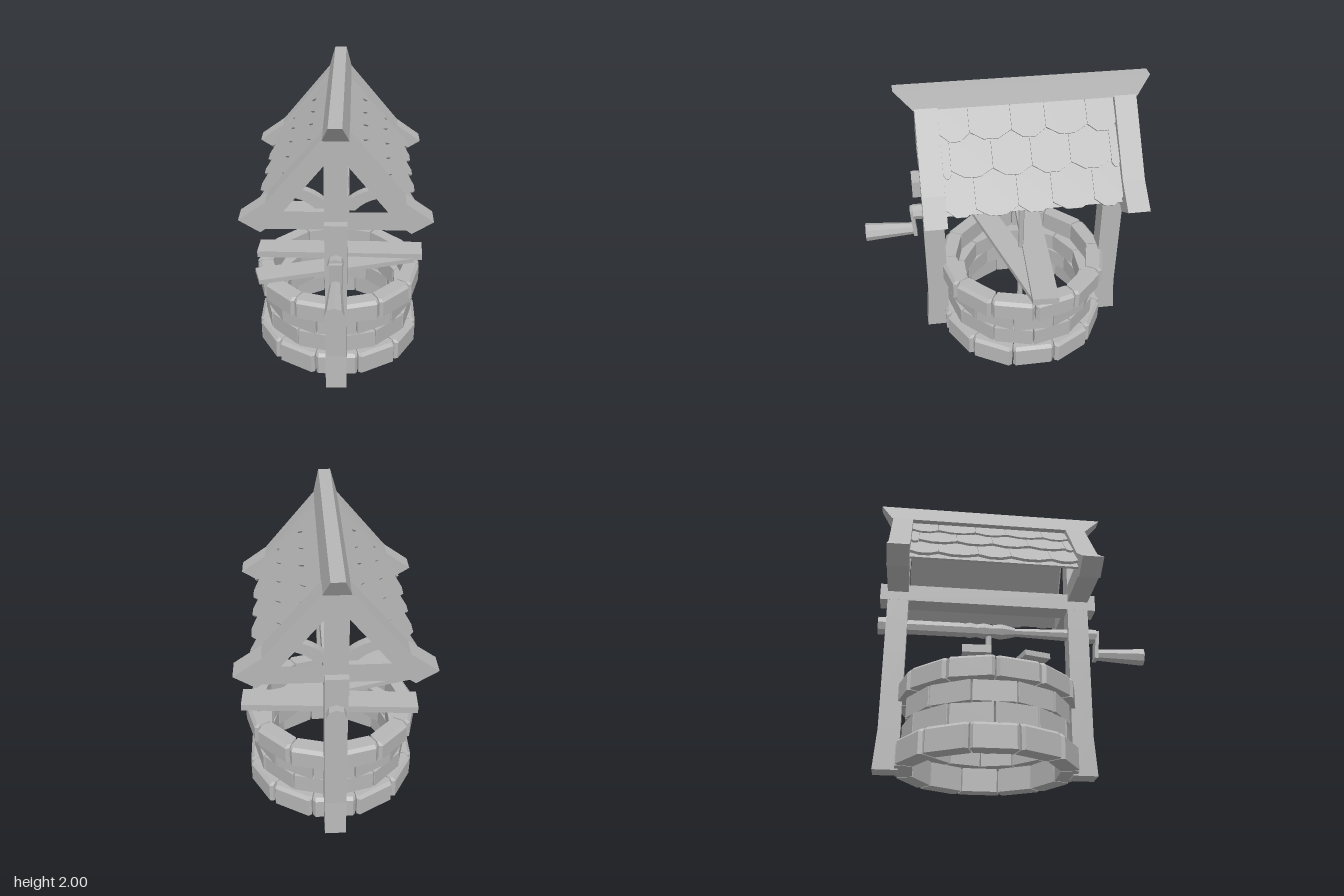
import * as THREE from 'three';

const stone = new THREE.MeshStandardMaterial({ color: 0xb6b6b6, flatShading: true });
stone.name = 'grey';

let seed = 7;
const rand = () => ((seed = (seed * 16807) % 2147483647) / 2147483647) - 0.5;

function add(parent, name, geometry, x = 0, y = 0, z = 0) {
  const mesh = new THREE.Mesh(geometry, stone);
  mesh.name = name;
  mesh.position.set(x, y, z);
  parent.add(mesh);
  return mesh;
}

const polygon = (pts) => new THREE.Shape(pts.map(([x, y]) => new THREE.Vector2(x, y)));
const extrude = (shape, depth, steps = 1) =>
  new THREE.ExtrudeGeometry(shape, { depth, steps, bevelEnabled: false, curveSegments: 5 });

// Round bar along z
function bar(parent, name, y, z0, r0, z1, r1, sides = 8) {
  const g = new THREE.CylinderGeometry(r1, r0, z1 - z0, sides).rotateX(Math.PI / 2);
  return add(parent, name, g, 0, y, (z0 + z1) / 2);
}

// Wedge-shaped stone facing +x, with optional chamfers on the outer edges
function brick(outer, inner, y0, y1, chamfer) {
  const half = Math.PI / 12, t = Math.tan(half), gap = 0.005;
  const apothem = outer * Math.cos(half), inA = inner * Math.cos(half);
  const wo = apothem * t - gap, wi = inA * t - gap;
  const c = Math.max(chamfer, 0.003);
  const g = extrude(polygon([
    [inA, -wi], [apothem - c, -wo + c * t], [apothem, -wo + c],
    [apothem, wo - c], [apothem - c, wo - c * t], [inA, wi],
  ]), 1, 2);
  const p = g.attributes.position;
  for (let i = 0; i < p.count; i++) {
    const level = p.getZ(i);
    if (level > 0.9) {
      if (p.getX(i) > inA + 0.02) p.setX(i, p.getX(i) - chamfer);
      p.setY(i, p.getY(i) * (1 - chamfer));
    }
    p.setZ(i, level < 0.1 ? y0 : level > 0.9 ? y1 : y1 - Math.max(chamfer, 0.005));
  }
  g.rotateX(-Math.PI / 2);
  g.computeVertexNormals();
  return g;
}

function makeWall() {
  const wall = new THREE.Group();
  wall.name = 'stoneWall';
  // outer corner radius, bottom, top, chamfer, turn
  const courses = [
    [0.612, 0.01, 0.175, 0.022, 0],
    [0.558, 0.18, 0.312, 0, 0.5],
    [0.555, 0.32, 0.455, 0, 0],
    [0.612, 0.46, 0.602, 0.022, 0.5],
  ];
  courses.forEach(([r, y0, y1, chamfer, turn]) => {
    for (let i = 0; i < 12; i++) {
      const out = r + rand() * 0.012;
      const m = add(wall, 'stoneBlock', brick(out, r - 0.12, y0, y1, chamfer));
      m.rotation.y = (i + turn) * Math.PI / 6;
    }
  });
  return wall;
}

// Triangular truss with king post, eave ends and curved braces
function makeGable() {
  const gable = new THREE.Group();
  gable.name = 'gableTruss';
  const side = [[0.075, 1.89], [0.435, 1.46], [0.61, 1.335], [0.475, 1.25], [0.44, 1.275]];
  const shape = polygon([...side, ...side.map(([x, y]) => [-x, y]).reverse()]);
  for (const s of [-1, 1]) {
    shape.holes.push(new THREE.Path([[0.073, 1.4], [0.073, 1.71], [0.325, 1.4]]
      .map(([x, y]) => new THREE.Vector2(s * x, y))));
    const brace = new THREE.Shape();
    brace.moveTo(s * 0.07, 1.39);
    brace.lineTo(s * 0.07, 1.45);
    brace.quadraticCurveTo(s * 0.14, 1.52, s * 0.25, 1.54);
    brace.lineTo(s * 0.3, 1.48);
    brace.quadraticCurveTo(s * 0.19, 1.47, s * 0.12, 1.39);
    add(gable, 'curvedBrace', extrude(brace, 0.06), 0, 0, -0.03);
  }
  add(gable, 'trussFrame', extrude(shape, 0.145), 0, 0, -0.0725);
  return gable;
}

// One roof slope: x runs along the ridge, y up the slope, z outward
function makeSlope(s) {
  const slope = new THREE.Group();
  slope.name = s > 0 ? 'leftRoofSlope' : 'rightRoofSlope';
  const end = 0.567;
  add(slope, 'roofBoard', new THREE.BoxGeometry(end * 2, 0.68, 0.015), 0, -0.35, -0.045);
  const odd = [-end, -0.38, -0.11, 0.11, 0.38, end];
  const even = [-end, -0.515, -0.25, 0, 0.25, 0.515, end];
  const courses = [[0, 0.225, odd], [0.19, 0.46, even], [0.42, 0.71, odd]];
  for (const [top, bottom, edges] of courses) {
    const h = bottom - top;
    for (let i = 0; i + 1 < edges.length; i++) {
      const a = edges[i] + 0.001, b = edges[i + 1] - 0.001, w = b - a;
      const low = h + rand() * 0.012;
      const k = Math.min(0.05, w * 0.5);
      const tile = polygon([[a, 0], [a, -low + k], [a + w * 0.32, -low], [b - w * 0.32, -low], [b, -low + k], [b, 0]]);
      const m = add(slope, 'shingle', extrude(tile, 0.018), 0, -top, -0.036);
      m.rotation.x = -0.07;
    }
  }
  const angle = Math.atan2(0.545, 0.455);
  slope.rotation.set(angle - Math.PI / 2, s * Math.PI / 2, 0, 'YXZ');
  slope.position.set(s * 0.06, 1.88, 0);
  return slope;
}

// Ridge cap that widens in length and narrows in width towards the top
function ridgeGeometry() {
  const g = new THREE.BoxGeometry(1, 0.125, 1);
  const p = g.attributes.position;
  for (let i = 0; i < p.count; i++) {
    const up = p.getY(i) > 0;
    p.setX(i, Math.sign(p.getX(i)) * (up ? 0.042 : 0.083));
    p.setZ(i, Math.sign(p.getZ(i)) * (up ? 0.82 : 0.72) + 0.018 * (up ? 1 : 0));
  }
  g.computeVertexNormals();
  return g;
}

// Post with a foot flared outwards
function postGeometry(s) {
  const g = new THREE.BoxGeometry(0.145, 1.34, 0.145, 1, 5, 1).translate(0, 0.67, 0);
  const p = g.attributes.position;
  for (let i = 0; i < p.count; i++) {
    if (p.getY(i) < 0.1 && p.getZ(i) * s > 0) p.setZ(i, p.getZ(i) + s * 0.02);
  }
  g.computeVertexNormals();
  return g;
}

// Loose plank between two end points given as [x, y, z]
function plank(parent, name, from, to, width, thick) {
  const a = new THREE.Vector3(...from), b = new THREE.Vector3(...to);
  const m = add(parent, name, new THREE.BoxGeometry(a.distanceTo(b), thick, width));
  m.position.copy(a).add(b).multiplyScalar(0.5);
  const d = b.sub(a);
  m.rotation.set(0, Math.atan2(-d.z, d.x), Math.atan2(d.y, Math.hypot(d.x, d.z)), 'YZX');
}

export function createModel() {
  const model = new THREE.Group();
  model.name = 'wishingWell';
  const well = new THREE.Group();
  well.name = 'well';
  well.position.set(-0.012, 0, -0.157);
  model.add(well);

  well.add(makeWall());

  // Posts, trusses and roof
  for (const s of [-1, 1]) {
    add(well, s > 0 ? 'frontPost' : 'backPost', postGeometry(s), 0, 0, s * 0.638);
    const gable = makeGable();
    gable.position.z = s * 0.64;
    well.add(gable, makeSlope(s));
  }
  add(well, 'longBeam', new THREE.BoxGeometry(0.146, 0.12, 1.53), 0, 1.27, 0.002);
  add(well, 'ridgeCap', ridgeGeometry(), 0, 1.9375, 0);

  // Winding roller with rope coil
  const y = 1.037;
  bar(well, 'rollerBack', y, -0.71, 0.053, -0.17, 0.053);
  bar(well, 'rollerBackCap', y, -0.765, 0.065, -0.7, 0.065);
  bar(well, 'rollerFront', y, 0.15, 0.028, 0.72, 0.05);
  bar(well, 'rollerFrontCap', y, 0.715, 0.054, 0.775, 0.054);
  const coil = [[0, -0.18], [0.045, -0.178], [0.058, -0.13], [0.048, -0.08], [0.058, -0.03],
    [0.047, 0.03], [0.058, 0.09], [0.048, 0.14], [0.035, 0.19], [0, 0.192]];
  add(well, 'ropeCoil', new THREE.LatheGeometry(coil.map(([r, h]) => new THREE.Vector2(r, h)), 8)
    .rotateX(Math.PI / 2), 0, y, 0);
  add(well, 'rope', new THREE.CylinderGeometry(0.021, 0.021, 0.87, 8), 0, 0.585, 0.007);

  // Crank
  const arm = add(well, 'crankArm', new THREE.BoxGeometry(0.085, 0.21, 0.025), 0, 0.96, 0.775);
  arm.rotation.x = 0.08;
  bar(well, 'crankHandle', 0.895, 0.76, 0.04, 1.112, 0.064);

  // Loose planks across the rim
  plank(well, 'lowerPlank', [-0.58, 0.622, 0.26], [0.54, 0.622, -0.06], 0.17, 0.035);
  plank(well, 'upperPlank', [-0.61, 0.628, -0.12], [0.625, 0.656, -0.062], 0.18, 0.05);

  return model;
}
